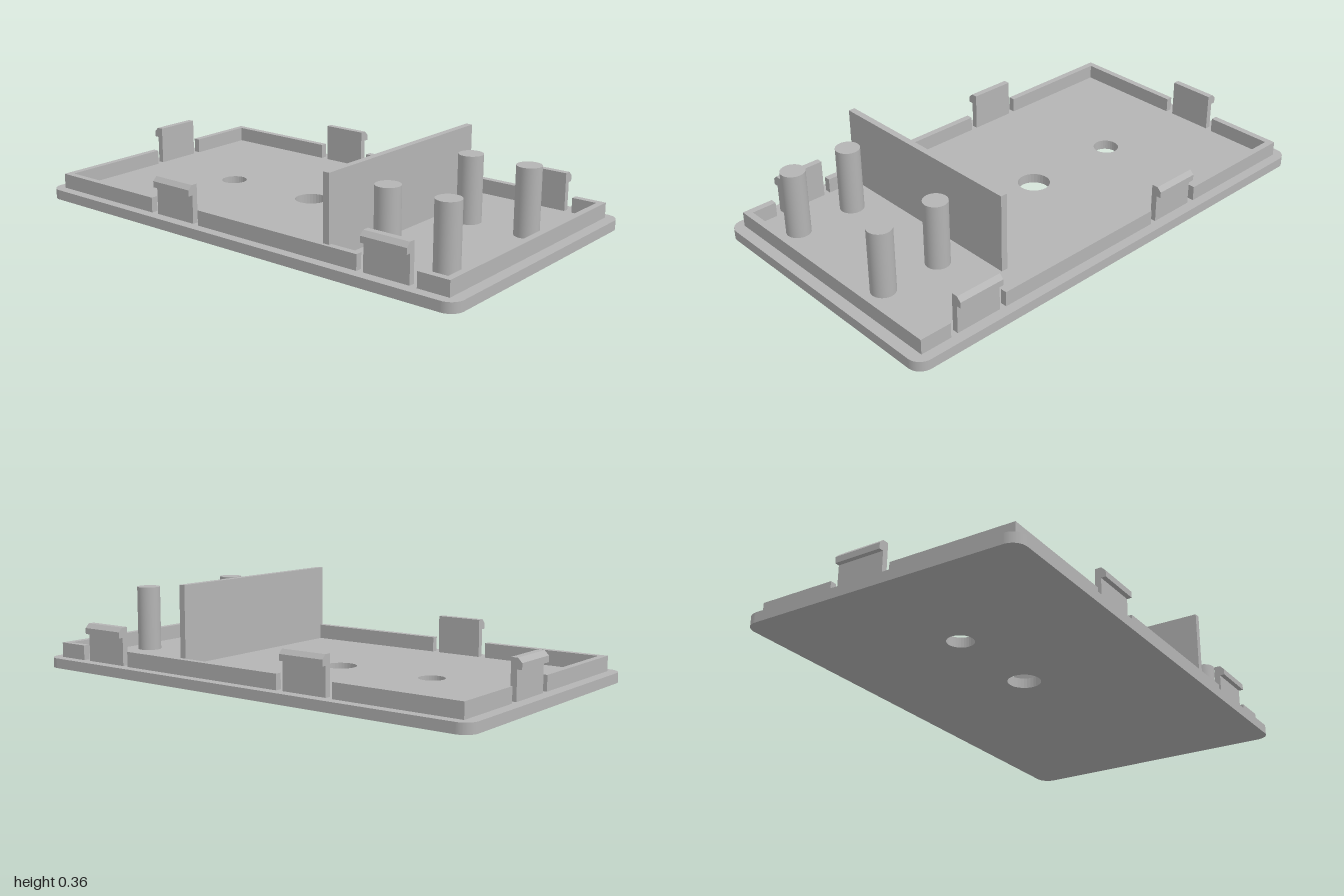
import * as THREE from 'three';

const BASE_T = 0.04;   // plate thickness
const LIP_TOP = 0.1;   // top of the low wall
const LX = 0.954, LZ = 0.53, WALL = 0.027; // outer half sizes and thickness of the wall

export function createModel() {
  const model = new THREE.Group();
  model.name = 'enclosureLid';
  const grey = new THREE.MeshStandardMaterial({ color: 0xb4b4b4 });
  grey.name = 'grey plastic';

  const add = (name, geometry, x = 0, y = 0, z = 0, turn = 0) => {
    const mesh = new THREE.Mesh(geometry, grey);
    mesh.name = name;
    mesh.position.set(x, y, z);
    mesh.rotation.y = turn;
    model.add(mesh);
  };
  const box = (name, x0, x1, y0, y1, z0, z1) =>
    add(name, new THREE.BoxGeometry(x1 - x0, y1 - y0, z1 - z0),
      (x0 + x1) / 2, (y0 + y1) / 2, (z0 + z1) / 2);

  // Base plate with rounded corners and two round holes
  const w = 1, d = 0.57, r = 0.055;
  const plate = new THREE.Shape();
  plate.absarc(w - r, d - r, r, 0, Math.PI / 2);
  plate.absarc(-w + r, d - r, r, Math.PI / 2, Math.PI);
  plate.absarc(-w + r, -d + r, r, Math.PI, Math.PI * 1.5);
  plate.absarc(w - r, -d + r, r, Math.PI * 1.5, Math.PI * 2);
  for (const [x, radius] of [[-0.495, 0.052], [-0.07, 0.065]]) {
    const hole = new THREE.Path();
    hole.absarc(x, 0, radius, 0, Math.PI * 2, true);
    plate.holes.push(hole);
  }
  const plateGeometry = new THREE.ExtrudeGeometry(plate,
    { depth: BASE_T, bevelEnabled: false, curveSegments: 16 });
  plateGeometry.rotateX(-Math.PI / 2);
  add('basePlate', plateGeometry);

  // Low wall in segments, with gaps around the clips
  for (const [x0, x1] of [[-LX, -0.43], [-0.18, 0.575], [0.825, LX]]) {
    box('frontWall', x0, x1, BASE_T, LIP_TOP, LZ - WALL, LZ);
    box('backWall', x0, x1, BASE_T, LIP_TOP, -LZ, -LZ + WALL);
  }
  box('leftWall', LX - WALL, LX, BASE_T, LIP_TOP, -LZ + WALL, LZ - WALL);
  box('rightWall', -LX, -LX + WALL, BASE_T, LIP_TOP, -LZ + WALL, -0.22);
  box('rightWall', -LX, -LX + WALL, BASE_T, LIP_TOP, 0.032, LZ - WALL);

  // Snap clips: profile with x pointing outward, extruded along the wall
  const profile = new THREE.Shape([
    [-0.027, BASE_T], [-0.003, BASE_T], [-0.003, 0.152], [0.016, 0.152],
    [0.016, 0.176], [-0.001, 0.193], [-0.027, 0.193],
  ].map(([x, y]) => new THREE.Vector2(x, y)));
  const clip = new THREE.ExtrudeGeometry(profile, { depth: 0.192, bevelEnabled: false });
  clip.translate(0, 0, -0.096);
  for (const x of [-0.304, 0.698]) {
    add('frontClip', clip, x, 0, LZ, -Math.PI / 2);
    add('backClip', clip, x, 0, -LZ, Math.PI / 2);
  }
  add('rightClip', clip, -LX - 0.003, 0, -0.094, Math.PI);

  // Upright partition
  box('partition', 0.418, 0.445, BASE_T, 0.358, -0.367, 0.516);

  // Four round posts
  const postTop = 0.306;
  const post = new THREE.CylinderGeometry(0.048, 0.048, postTop - BASE_T, 40);
  for (const x of [0.575, 0.825])
    for (const z of [-0.163, 0.356])
      add('post', post, x, (postTop + BASE_T) / 2, z);

  return model;
}
